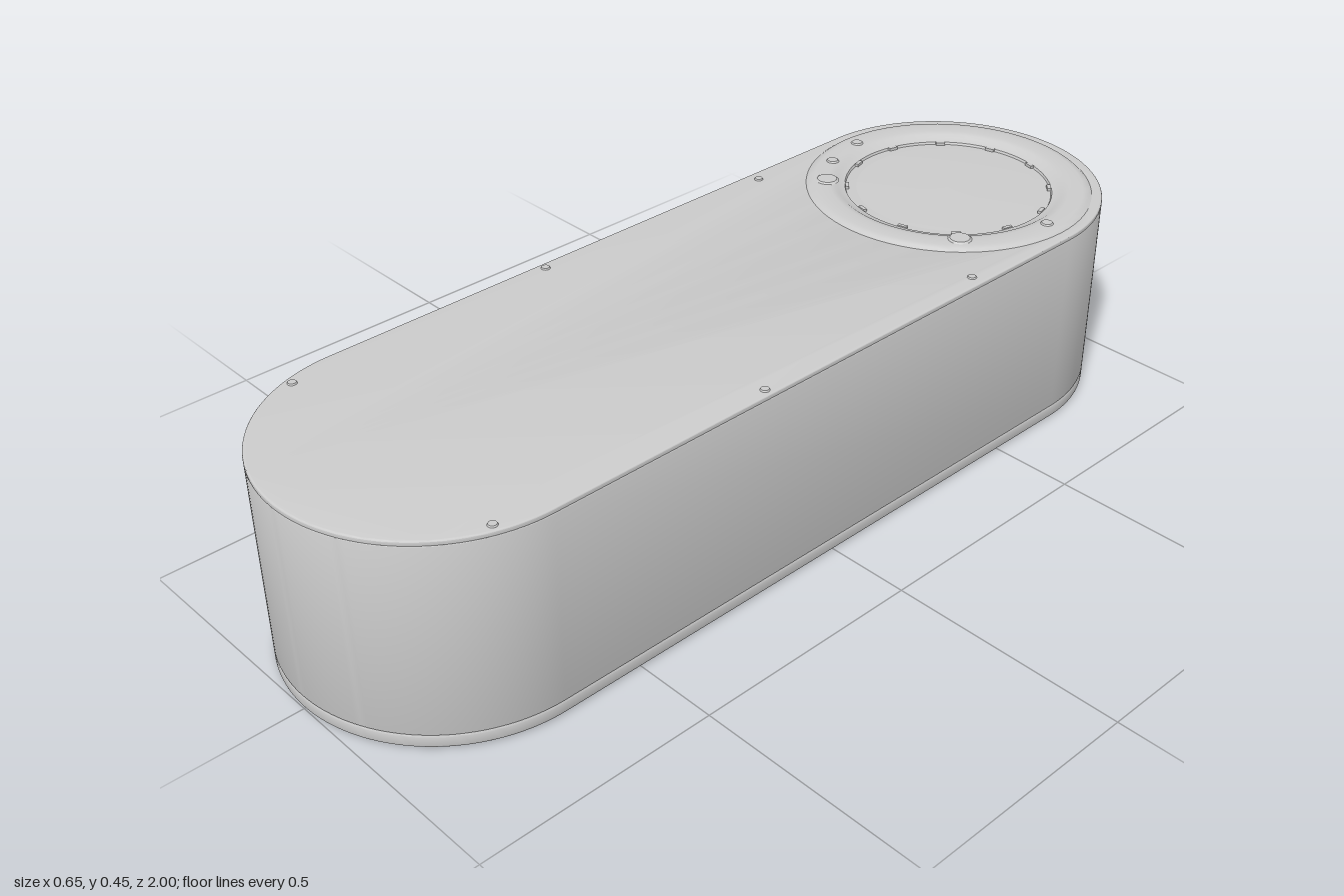
import * as THREE from 'three';
import { toCreasedNormals } from 'three/addons/utils/BufferGeometryUtils.js';

const R = 0.325;       // radius of the rounded ends
const END = 0.675;     // distance of the end centres from the middle
const grey = new THREE.MeshStandardMaterial({ color: 0xcccccc });

// Rounded-end outline; shape +y becomes -z once laid flat
function stadium(r) {
  const s = new THREE.Shape();
  s.absarc(0, END, r, 0, Math.PI, false);
  s.absarc(0, -END, r, Math.PI, 2 * Math.PI, false);
  s.closePath();
  return s;
}

// Horizontal slab between two heights with softly rounded edges
function slab(shape, y0, y1, bevel) {
  const g = new THREE.ExtrudeGeometry(shape, {
    depth: y1 - y0 - 2 * bevel, curveSegments: 40, bevelEnabled: true,
    bevelThickness: bevel, bevelSize: bevel, bevelOffset: -bevel, bevelSegments: 3,
  });
  g.rotateX(-Math.PI / 2);
  g.translate(0, y0 + bevel, 0);
  return toCreasedNormals(g, 0.6);
}

export function createModel() {
  const model = new THREE.Group();
  model.name = 'capsuleHousing';
  const add = (name, geometry, x = 0, y = 0, z = 0) => {
    const m = new THREE.Mesh(geometry, grey);
    m.name = name;
    m.position.set(x, y, z);
    model.add(m);
    return m;
  };

  // Housing in three layers with fine seams
  add('basePlate', slab(stadium(R), 0.002, 0.031, 0.005));
  add('body', slab(stadium(R), 0.03, 0.432, 0.002));
  const lid = stadium(R);
  const opening = new THREE.Path();
  opening.absarc(0, END, 0.295, 0, Math.PI * 2, true);
  lid.holes.push(opening);
  add('topCover', slab(lid, 0.43, 0.441, 0.004));

  // Raised collar around the round window
  const profile = [[0.217, 0.43], [0.22, 0.437], [0.235, 0.441], [0.242, 0.446],
    [0.255, 0.448], [0.285, 0.448], [0.297, 0.446], [0.303, 0.441], [0.303, 0.432]]
    .map(([r, y]) => new THREE.Vector2(r, y)).reverse();
  const collar = new THREE.LatheGeometry(profile, 80);
  add('collar', toCreasedNormals(collar, 0.7), 0, 0, -END);

  // Round window, gently domed
  const dome = [[0.219, 0.431], [0.16, 0.4335], [0.08, 0.435], [0, 0.4355]]
    .map(([r, y]) => new THREE.Vector2(r, y));
  add('window', new THREE.LatheGeometry(dome, 64), 0, 0, -END);

  // Round foot under the window end
  add('foot', new THREE.CylinderGeometry(0.28, 0.277, 0.006, 64), 0, 0.003, -END);

  // Small screws along the cover
  const screw = (name, x, y, z, r) =>
    add(name, new THREE.CylinderGeometry(r * 0.8, r, 0.004, 16), x, y, z);
  for (const side of [-1, 1]) {
    for (const [x, z] of [[0.297, -0.4], [0.307, 0.18], [0.29, 0.775]]) {
      screw('coverScrew', side * x, 0.442, z, 0.01);
    }
    screw('collarScrew', side * 0.265, 0.449, -0.675, 0.014);
    screw('collarStud', side * 0.185, 0.449, -0.495, 0.026);
  }
  screw('collarScrew', -0.24, 0.449, -0.57, 0.014);

  // Short clips around the window rim
  for (let i = 0; i < 12; i++) {
    const a = (i + 0.5) * Math.PI / 6;
    const clip = add('rimClip', new THREE.BoxGeometry(0.02, 0.006, 0.008),
      0.215 * Math.sin(a), 0.436, -END + 0.215 * Math.cos(a));
    clip.rotation.y = a;
  }
  return model;
}
